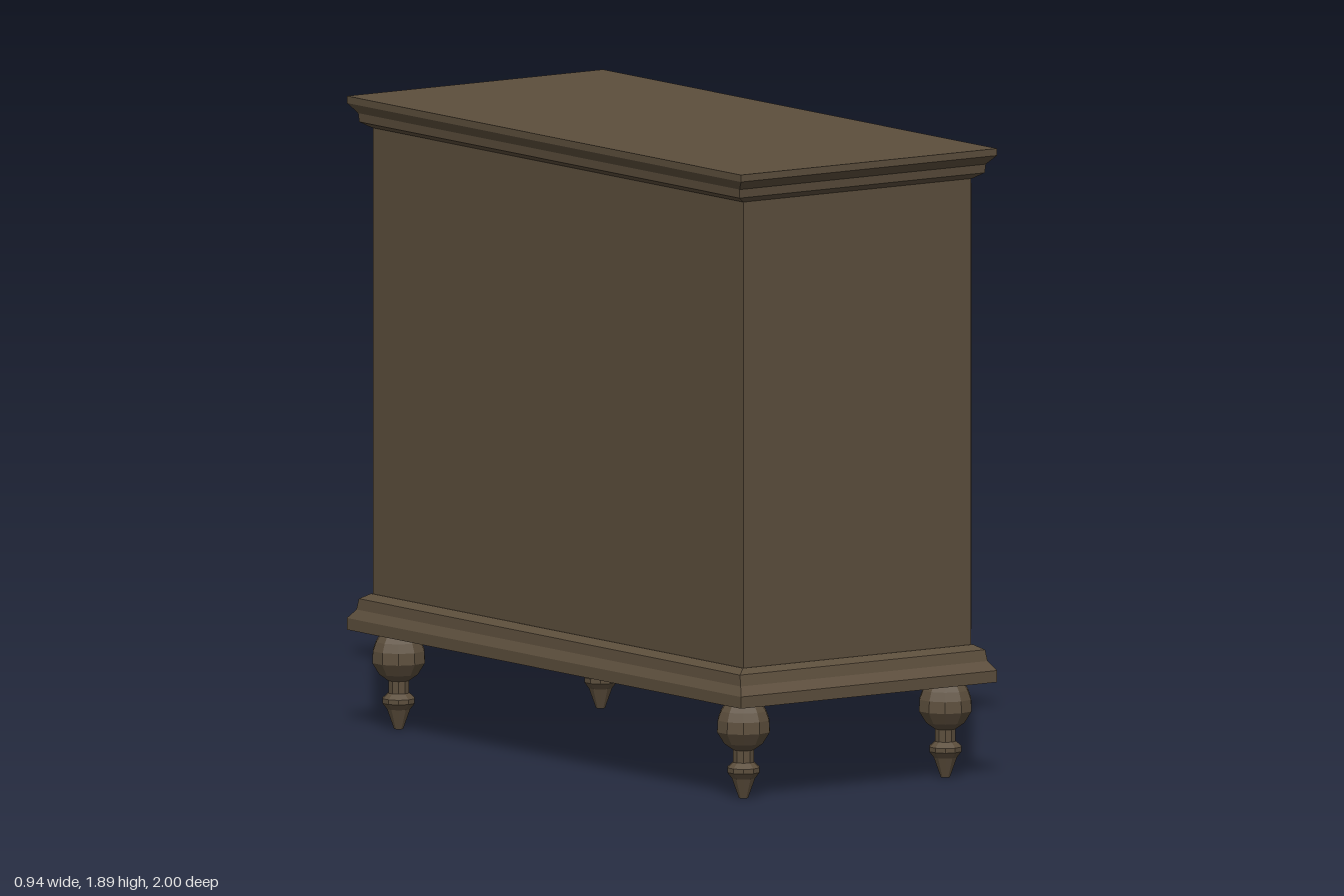
import * as THREE from 'three';

const wood = new THREE.MeshStandardMaterial({ color: 0x5c4e3c, flatShading: true });
wood.name = 'brown wood';
const metal = new THREE.MeshStandardMaterial({ color: 0xb0b0b0, flatShading: true });
metal.name = 'grey metal';

function add(parent, name, geometry, material, x = 0, y = 0, z = 0) {
  const mesh = new THREE.Mesh(geometry, material);
  mesh.name = name;
  mesh.position.set(x, y, z);
  parent.add(mesh);
  return mesh;
}

// Closed solid through rectangular sections [y, halfX, halfZ], bottom to top
function stackedRects(sections) {
  const rings = sections.map(([y, hx, hz]) => [[-hx, y, hz], [hx, y, hz], [hx, y, -hz], [-hx, y, -hz]]);
  const pos = [];
  const quad = (a, b, c, d) => pos.push(...a, ...b, ...c, ...a, ...c, ...d);
  for (let i = 0; i < rings.length - 1; i++) {
    for (let k = 0; k < 4; k++) {
      const n = (k + 1) % 4;
      quad(rings[i][k], rings[i][n], rings[i + 1][n], rings[i + 1][k]);
    }
  }
  const top = rings[rings.length - 1];
  quad(top[0], top[1], top[2], top[3]);
  quad(rings[0][3], rings[0][2], rings[0][1], rings[0][0]);
  const g = new THREE.BufferGeometry();
  g.setAttribute('position', new THREE.Float32BufferAttribute(pos, 3));
  g.computeVertexNormals();
  return g;
}

function rect(target, w, h) {
  target.moveTo(-w / 2, -h / 2);
  target.lineTo(w / 2, -h / 2);
  target.lineTo(w / 2, h / 2);
  target.lineTo(-w / 2, h / 2);
  target.closePath();
  return target;
}

// Framed front facing +x with a sunken centre panel
function framedFront(name, w, h, borderW, borderH, depth, recess) {
  const group = new THREE.Group();
  group.name = name;
  const shape = rect(new THREE.Shape(), w, h);
  const innerW = w - 2 * borderW, innerH = h - 2 * borderH;
  shape.holes.push(rect(new THREE.Path(), innerW, innerH));
  const frame = new THREE.ExtrudeGeometry(shape, { depth, bevelEnabled: false });
  frame.rotateY(Math.PI / 2);
  add(group, 'frame', frame, wood);
  const d = depth - recess;
  add(group, 'panel', new THREE.BoxGeometry(d, innerH, innerW), wood, d / 2);
  return group;
}

// Bar pull on two short posts
function makeHandle() {
  const group = new THREE.Group();
  group.name = 'handle';
  add(group, 'bar', new THREE.CylinderGeometry(0.012, 0.012, 0.195, 8).rotateX(Math.PI / 2), metal, 0.026);
  for (const s of [-1, 1]) {
    add(group, 'post', new THREE.BoxGeometry(0.026, 0.018, 0.02), metal, 0.013, 0, s * 0.08);
  }
  return group;
}

export function createModel() {
  const model = new THREE.Group();
  model.name = 'sideboard';
  const cx = -0.004, face = 0.411;

  // Carcass with moulded plinth and cornice
  add(model, 'carcass', new THREE.BoxGeometry(0.83, 1.42, 1.88), wood, cx, 1.1, 0);
  add(model, 'plinth', stackedRects([
    [0.29, 0.467, 1], [0.325, 0.467, 1], [0.352, 0.45, 0.975],
    [0.385, 0.447, 0.967], [0.4, 0.42, 0.945],
  ]), wood, cx);
  add(model, 'cornice', stackedRects([
    [1.795, 0.418, 0.943], [1.812, 0.447, 0.965], [1.838, 0.449, 0.968],
    [1.866, 0.467, 1], [1.887, 0.467, 1],
  ]), wood, cx);

  // Turned feet
  const profile = [
    [0, 0], [0.014, 0], [0.036, 0.06], [0.05, 0.078], [0.05, 0.092], [0.032, 0.108],
    [0.032, 0.145], [0.06, 0.165], [0.082, 0.2], [0.08, 0.235], [0.07, 0.262], [0.05, 0.292],
  ].map(([r, y]) => new THREE.Vector2(r, y));
  const footGeometry = new THREE.LatheGeometry(profile, 10);
  for (const sx of [-1, 1]) {
    for (const sz of [-1, 1]) add(model, 'foot', footGeometry, wood, cx + sx * 0.368, 0, sz * 0.875);
  }

  // Door and knob
  const door = framedFront('door', 0.5, 1.335, 0.06, 0.068, 0.044, 0.022);
  door.position.set(face, 1.1025, 0.63);
  model.add(door);
  add(model, 'knob', new THREE.CylinderGeometry(0.02, 0.024, 0.016, 10).rotateZ(-Math.PI / 2),
    metal, 0.462, 1.1, 0.408);

  // Five drawers, two handles each
  for (let i = 0; i < 5; i++) {
    const drawer = framedFront('drawer', 1.21, 0.25, 0.054, 0.033, 0.018, 0.012);
    drawer.position.set(face, 0.558 + i * 0.27, -0.302);
    for (const z of [0.304, -0.322]) {
      const handle = makeHandle();
      handle.position.set(0.006, 0, z);
      drawer.add(handle);
    }
    model.add(drawer);
  }
  return model;
}
